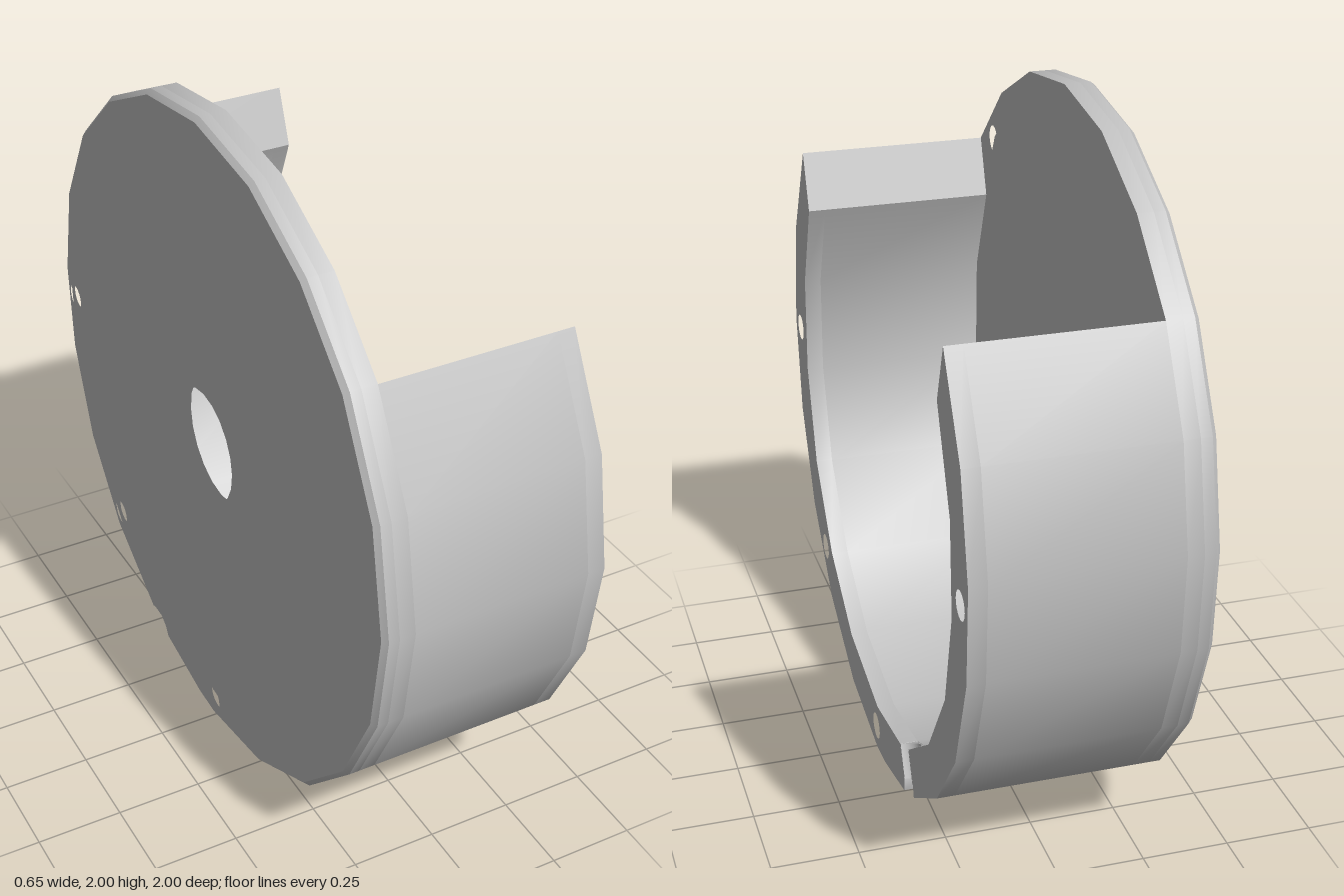
import * as THREE from 'three';
import { toCreasedNormals } from 'three/addons/utils/BufferGeometryUtils.js';

const BACK = -0.325, FRONT = 0.325, FLOOR = -0.235, STEP = 0.275;
const GROOVE_R = 0.048, GROOVE_W = 0.052;

// Section points are [u, v]: u = -z, v = height above the axis.
const outerRight = [[0.79, 0.625], [0.935, 0.37], [0.997, 0.08], [0.98, -0.2], [0.875, -0.49], [0.69, -0.725]];
const channelEnd = [0.44, -0.892];
const channelTop = [[0.41, -0.875], [0.37, -0.877], [0.34, -0.9]];
const channelStart = [0.33, -0.94];
const outerLeft = [[0.1, -0.993], [0, -1], [-0.305, -0.95], [-0.59, -0.805], [-0.815, -0.575], [-0.955, -0.295],
  [-1, 0.01], [-0.945, 0.33], [-0.79, 0.62]];
const outerTop = [[-0.575, 0.82], [-0.305, 0.955], [0, 1], [0.3, 0.957], [0.57, 0.825]];
const innerLeft = [[-0.73, 0.455], [-0.835, 0.19], [-0.845, -0.11], [-0.755, -0.4], [-0.565, -0.635], [-0.31, -0.79], [0.02, -0.85]];
const innerGap = [[0.294, -0.805], [0.39, -0.763]];
const innerRight = [[0.61, -0.605], [0.78, -0.36], [0.85, -0.08], [0.84, 0.19], [0.73, 0.46]];

const ring = (count, radius, start) => Array.from({ length: count }, (_, i) => {
  const a = start + (i / count) * Math.PI * 2;
  return [radius * Math.cos(a), radius * Math.sin(a)];
});
const rimHoles = ring(8, 0.928, 0).map(([u, v]) => [u, v, 0.04]);
const plateHoles = ring(4, 0.537, Math.PI / 4).map(([u, v]) => [u, v, 0.023]);
const wallHoles = rimHoles.filter(([, v]) => v < 0.1);

function section(points, holes = []) {
  const shape = new THREE.Shape(points.map(([u, v]) => new THREE.Vector2(u, v)));
  for (const [u, v, r] of holes) {
    shape.holes.push(new THREE.Path().absarc(u, v, r, 0, Math.PI * 2, true));
  }
  return shape;
}

// Extrude a section along the x axis from x0 to x1
function slab(points, holes, x0, x1) {
  const geo = new THREE.ExtrudeGeometry(section(points, holes), { depth: x1 - x0, bevelEnabled: false, curveSegments: 10 });
  geo.rotateY(Math.PI / 2);
  geo.translate(x0, 0, 0);
  return geo;
}

export function createModel() {
  const group = new THREE.Group();
  const grey = new THREE.MeshStandardMaterial({ color: 0xbfbfbf });
  grey.name = 'grey';

  const add = (name, geo) => {
    geo.translate(0, 1, 0);
    const mesh = new THREE.Mesh(toCreasedNormals(geo, 0.65), grey);
    mesh.name = name;
    group.add(mesh);
  };

  // Round plate with a stepped centre bore and a small chamfer at the back
  const disc = [...outerRight, channelEnd, ...channelTop, channelStart, ...outerLeft, ...outerTop];
  const discHoles = [...rimHoles, ...plateHoles];
  const chamfer = slab(disc, [...discHoles, [0, 0, 0.168]], BACK, BACK + 0.014);
  const pos = chamfer.attributes.position;
  for (let i = 0; i < pos.count; i++) {
    const y = pos.getY(i), z = pos.getZ(i);
    if (pos.getX(i) < BACK + 0.005 && Math.hypot(y, z) > 0.975) {
      pos.setY(i, y * 0.986);
      pos.setZ(i, z * 0.986);
    }
  }
  add('plateChamfer', chamfer);
  add('plateBack', slab(disc, [...discHoles, [0, 0, 0.168]], BACK + 0.014, -0.28));
  add('plateFront', slab(disc, [...discHoles, [0, 0, 0.187]], -0.28, FLOOR));

  // Open-topped side wall
  add('wall', slab([...outerRight, channelEnd, ...channelTop, channelStart, ...outerLeft,
    ...innerLeft, ...innerGap, ...innerRight], wallHoles, FLOOR, STEP));

  // Front rim of the wall, parted by the cable groove
  add('rimLeft', slab([channelStart, ...outerLeft, ...innerLeft, innerGap[0], [0.336, -0.901]],
    wallHoles.filter(([u]) => u < 0.36), STEP, FRONT));
  add('rimRight', slab([...outerRight, channelEnd, [0.432, -0.859], innerGap[1], ...innerRight],
    wallHoles.filter(([u]) => u > 0.36), STEP, FRONT));

  // Half-round cable groove running outwards through the rim
  const arc = Array.from({ length: 13 }, (_, i) => {
    const a = -(i / 12) * Math.PI;
    return [GROOVE_R * Math.cos(a), GROOVE_R * Math.sin(a)];
  });
  const depth = FRONT - STEP;
  const groove = new THREE.ExtrudeGeometry(
    section([[-GROOVE_W, -depth], [GROOVE_W, -depth], [GROOVE_W, 0], ...arc, [-GROOVE_W, 0]]),
    { depth: 0.1, bevelEnabled: false });
  groove.translate(0, 0, 0.856);
  groove.applyMatrix4(new THREE.Matrix4().makeBasis(
    new THREE.Vector3(0, 0.4, -0.917), new THREE.Vector3(1, 0, 0), new THREE.Vector3(0, -0.917, -0.4)));
  groove.translate(FRONT, 0, 0);
  add('cableGroove', groove);

  return group;
}
